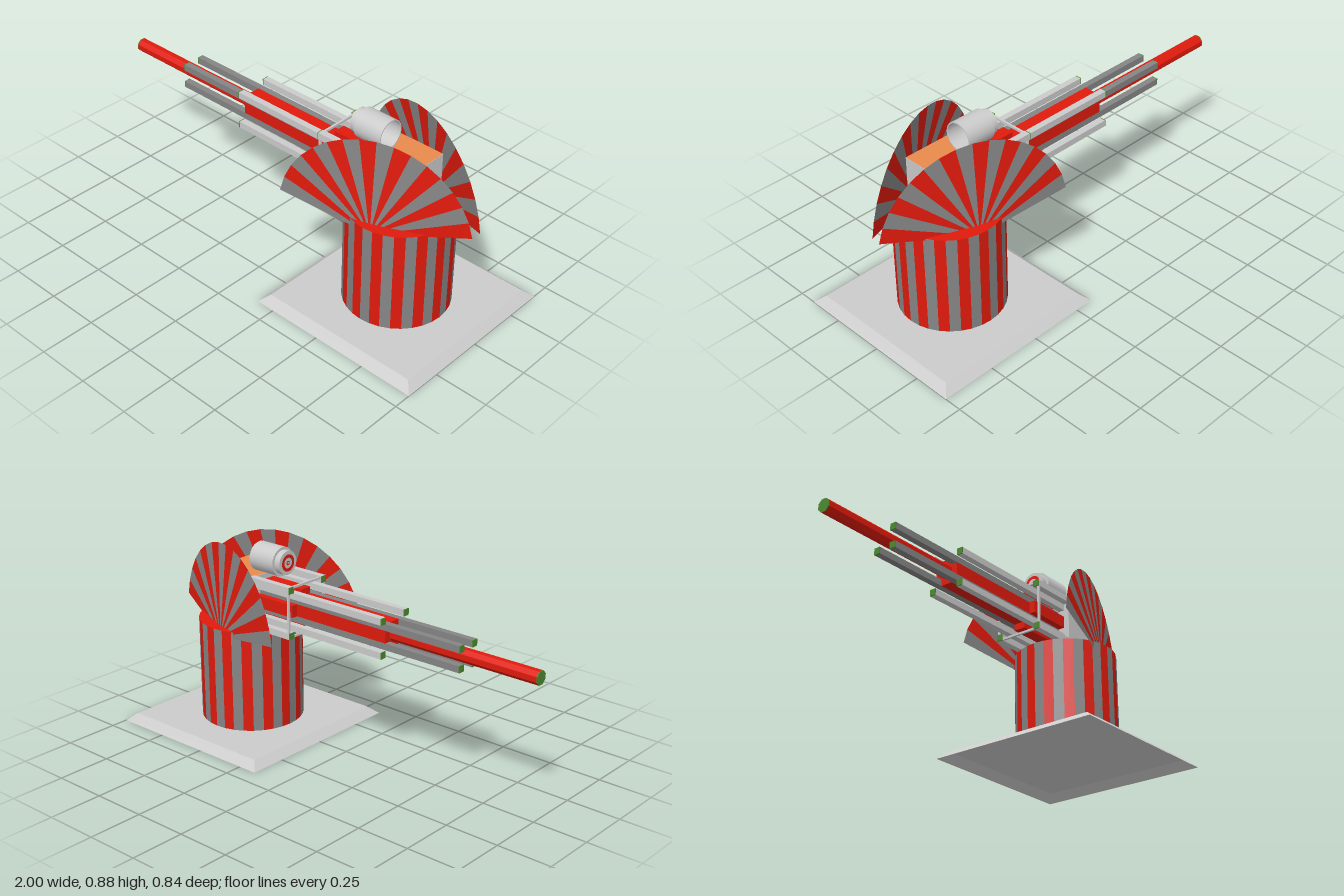
import * as THREE from 'three';
import { mergeGeometries } from 'three/addons/utils/BufferGeometryUtils.js';

const mat = (color, opts = {}) => new THREE.MeshStandardMaterial({ color, flatShading: true, ...opts });
const grey = mat(0xcccccc, { side: THREE.DoubleSide });
const darkGrey = mat(0x858585, { side: THREE.DoubleSide });
const red = mat(0xe01a0c, { side: THREE.DoubleSide });
const orange = mat(0xe88a4c);
const green = mat(0x4c8a30);
const smoothGrey = new THREE.MeshStandardMaterial({ color: 0xcccccc });

const CX = 0.578;    // turret axis
const AXIS_Y = 0.63; // barrel axis height

function add(parent, name, geometry, material) {
  const mesh = new THREE.Mesh(geometry, material);
  mesh.name = name;
  parent.add(mesh);
}

// Box from its lower and upper limits on each axis
function boxBetween(x0, x1, y0, y1, z0, z1) {
  return new THREE.BoxGeometry(x1 - x0, y1 - y0, z1 - z0)
    .translate((x0 + x1) / 2, (y0 + y1) / 2, (z0 + z1) / 2);
}

function triangles(points) {
  const g = new THREE.BufferGeometry().setFromPoints(points);
  g.computeVertexNormals();
  return g;
}

// Column of alternating flat stripes with a red cap
function createColumn() {
  const group = new THREE.Group();
  group.name = 'column';
  const n = 32, step = (Math.PI * 2) / n, stripes = [[], []];
  for (let i = 0; i < n; i++) {
    stripes[i % 2].push(
      new THREE.CylinderGeometry(0.236, 0.236, 0.475, 1, 1, true, i * step, step).translate(CX, 0.2725, 0));
  }
  add(group, 'columnGreyStripes', mergeGeometries(stripes[0]), darkGrey);
  add(group, 'columnRedStripes', mergeGeometries(stripes[1]), red);
  add(group, 'columnCap', new THREE.CircleGeometry(0.236, n).rotateX(-Math.PI / 2).translate(CX, 0.51, 0), red);
  return group;
}

// Thin shell-like shield: wedge stripes fanning out from a hub pushed outwards
// side is 1 for the left shield, -1 for the right
function createShield(name, side, angle, z) {
  const group = new THREE.Group();
  group.name = name;
  const n = 16, radius = 0.42, start = 0.18, sweep = Math.PI - 2 * start;
  const hub = new THREE.Vector3(0, 0, side * 0.042);
  const rimPoint = (i) => {
    const a = start + (sweep * i) / n;
    return new THREE.Vector3(Math.cos(a) * radius, Math.sin(a) * radius, 0);
  };
  const stripes = [[], []];
  for (let i = 0; i < n; i++) {
    const edge = [rimPoint(i), rimPoint(i + 1)];
    if (side < 0) edge.reverse();
    stripes[i % 2].push(hub, ...edge);
  }
  add(group, name + 'RedStripes', triangles(stripes[0]), red);
  add(group, name + 'GreyStripes', triangles(stripes[1]), darkGrey);
  group.rotation.y = side * angle;
  group.position.set(0.57, 0.461, side * z);
  return group;
}

// Four corner rails round the barrel, with green front ends
function createRails(name, x0, x1, half, material) {
  const group = new THREE.Group();
  group.name = name;
  const t = 0.03, c = half - t / 2;
  const rails = [], tips = [];
  for (const sy of [-1, 1]) for (const sz of [-1, 1]) {
    const y = AXIS_Y + sy * c, z = sz * c;
    rails.push(boxBetween(x0 + 0.004, x1, y - t / 2, y + t / 2, z - t / 2, z + t / 2));
    tips.push(boxBetween(x0, x0 + 0.004, y - t / 2, y + t / 2, z - t / 2, z + t / 2));
  }
  add(group, name + 'Bars', mergeGeometries(rails), material);
  add(group, name + 'Tips', mergeGeometries(tips), green);
  return group;
}

// Red cross-shaped core filling the gaps between the rails
function createCore(x0, x1, half) {
  const w = 0.028;
  return mergeGeometries([
    boxBetween(x0, x1, AXIS_Y - half, AXIS_Y + half, -w, w),
    boxBetween(x0, x1, AXIS_Y - w, AXIS_Y + w, -half, half),
  ]);
}

function createGun() {
  const gun = new THREE.Group();
  gun.name = 'gun';

  const tube = (length, x) => new THREE.CylinderGeometry(0.0315, 0.0315, length, 8)
    .rotateY(Math.PI / 8).rotateZ(Math.PI / 2).translate(x + length / 2, AXIS_Y, 0);
  add(gun, 'barrel', tube(1.446, -0.996), red);
  add(gun, 'barrelTip', tube(0.004, -1), green);

  gun.add(createRails('frontRails', -0.65, 0.46, 0.058, darkGrey));
  gun.add(createRails('middleRails', -0.27, 0.46, 0.09, grey));
  gun.add(createRails('rearRails', 0.222, 0.46, 0.12, grey));
  add(gun, 'middleCore', createCore(-0.265, 0.46, 0.058), red);
  add(gun, 'rearCore', createCore(0.235, 0.46, 0.088), red);

  // thin square brace joining the rear rails
  const h = 0.118, t = 0.01, brace = [];
  for (const s of [-1, 1]) {
    const c = s * (h - t / 2);
    brace.push(boxBetween(0.228, 0.238, AXIS_Y + c - t / 2, AXIS_Y + c + t / 2, -h, h));
    brace.push(boxBetween(0.228, 0.238, AXIS_Y - h, AXIS_Y + h, c - t / 2, c + t / 2));
  }
  add(gun, 'railBrace', mergeGeometries(brace), grey);

  // breech block with an orange lid
  add(gun, 'breech', boxBetween(0.455, 0.69, 0.51, 0.745, -0.115, 0.115), grey);
  add(gun, 'breechLid', new THREE.PlaneGeometry(0.235, 0.23)
    .rotateX(-Math.PI / 2).translate(0.5725, 0.7465, 0), orange);
  return gun;
}

// Stepped tube, open at the back, with red target rings at its front end
function createSight() {
  const sight = new THREE.Group();
  sight.name = 'sight';
  const profile = [[0, 0], [0.055, 0], [0.055, 0.03], [0.067, 0.03], [0.067, 0.17], [0.062, 0.17], [0.062, 0.03]]
    .map(([r, y]) => new THREE.Vector2(r, y));
  // one lathe per section keeps the edges crisp
  const sections = profile.slice(1).map((p, i) => new THREE.LatheGeometry([profile[i], p], 24));
  add(sight, 'sightTube', mergeGeometries(sections).rotateZ(-Math.PI / 2), smoothGrey);

  const ring = (r0, r1) => new THREE.RingGeometry(r0, r1, 24).rotateY(Math.PI / 2).translate(-0.002, 0, 0);
  add(sight, 'targetRings', mergeGeometries([ring(0.024, 0.039), ring(0.005, 0.01)]), red);
  sight.position.set(0.34, 0.81, 0);
  return sight;
}

export function createModel() {
  const model = new THREE.Group();
  model.name = 'turret';

  // bevelled square plinth, hollow underneath
  add(model, 'plinthSides', new THREE.CylinderGeometry(0.38 * Math.SQRT2, 0.42 * Math.SQRT2, 0.035, 4, 1, true)
    .rotateY(Math.PI / 4).translate(0.58, 0.0175, 0), grey);
  add(model, 'plinthTop', new THREE.PlaneGeometry(0.76, 0.76)
    .rotateX(-Math.PI / 2).translate(0.58, 0.035, 0), grey);

  model.add(createColumn());
  model.add(createShield('leftShield', 1, 0.345, 0.16));
  model.add(createShield('rightShield', -1, 0.314, 0.152));
  model.add(createGun());
  model.add(createSight());
  return model;
}
